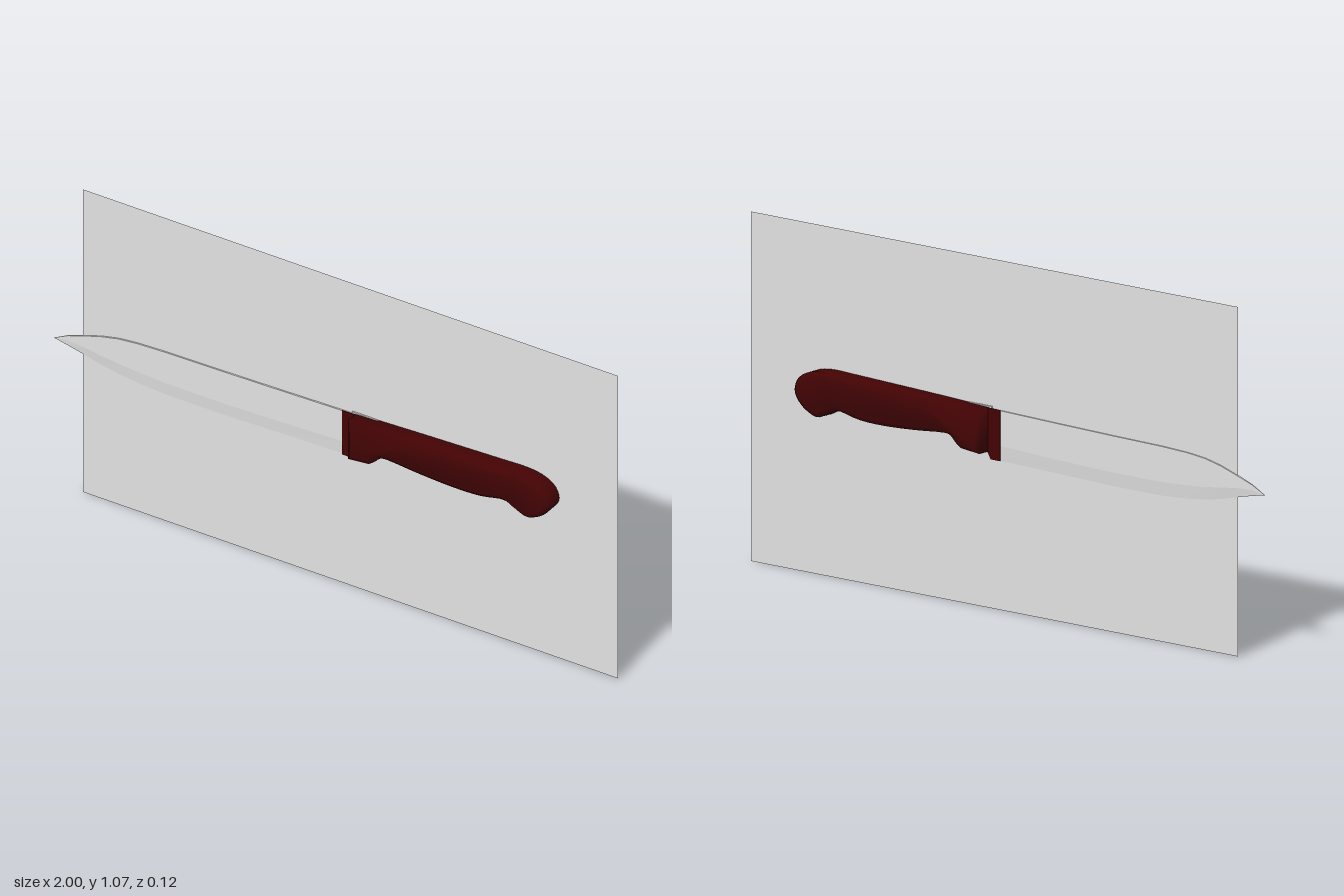
import * as THREE from 'three';
import { mergeVertices } from 'three/addons/utils/BufferGeometryUtils.js';

const steel = new THREE.MeshStandardMaterial({ color: 0xe2e2e2 });
steel.name = 'steel grey';
const sheet = new THREE.MeshStandardMaterial({ color: 0xe2e2e2, side: THREE.DoubleSide });
sheet.name = 'sheet grey';
const wood = new THREE.MeshStandardMaterial({ color: 0x430304 });
wood.name = 'dark red wood';

const v2 = (pts) => pts.map(([x, y]) => new THREE.Vector2(x, y));

function add(parent, name, geometry, material, x = 0, y = 0, z = 0) {
  const mesh = new THREE.Mesh(geometry, material);
  mesh.name = name;
  mesh.position.set(x, y, z);
  parent.add(mesh);
}

// Blade: five-sided sections (edge, bevel shoulders, spine) lofted from tip to heel
function bladeGeometry() {
  // x, edge y, shoulder y, spine y, half thickness
  const stations = [
    [-1, 0.51, 0.51, 0.51, 0.0005],
    [-0.95, 0.5, 0.518, 0.535, 0.002],
    [-0.89, 0.487, 0.516, 0.556, 0.004],
    [-0.83, 0.472, 0.508, 0.575, 0.005],
    [-0.77, 0.461, 0.501, 0.588, 0.005],
    [-0.7, 0.453, 0.495, 0.595, 0.005],
    [-0.6, 0.447, 0.49, 0.599, 0.005],
    [-0.4, 0.447, 0.49, 0.602, 0.005],
    [-0.2, 0.452, 0.495, 0.606, 0.005],
    [0.066, 0.457, 0.505, 0.612, 0.005],
  ];
  const pos = [];
  const index = [];
  stations.forEach(([x, edge, mid, top, t], i) => {
    pos.push(x, edge, 0, x, mid, t, x, top, t, x, top, -t, x, mid, -t);
    if (i === 0) return;
    for (let k = 0; k < 5; k++) {
      const a = (i - 1) * 5 + k, b = (i - 1) * 5 + ((k + 1) % 5);
      const d = a + 5, c = b + 5;
      index.push(a, d, c, a, c, b);
    }
  });
  const e = (stations.length - 1) * 5;
  for (let k = 1; k < 4; k++) index.push(e, e + k + 1, e + k);
  const indexed = new THREE.BufferGeometry();
  indexed.setAttribute('position', new THREE.Float32BufferAttribute(pos, 3));
  indexed.setIndex(index);
  const geo = indexed.toNonIndexed();
  geo.computeVertexNormals();
  return geo;
}

// Soft shading: every face around a vertex counts equally, whatever its area
function softNormals(geo) {
  const { position } = geo.attributes;
  const sums = Array.from({ length: position.count }, () => new THREE.Vector3());
  const tri = new THREE.Triangle();
  const n = new THREE.Vector3();
  for (let i = 0; i < geo.index.count; i += 3) {
    const ids = [0, 1, 2].map((k) => geo.index.getX(i + k));
    tri.setFromAttributeAndIndices(position, ...ids);
    tri.getNormal(n);
    ids.forEach((id) => sums[id].add(n));
  }
  const normals = sums.flatMap((s) => s.normalize().toArray());
  geo.setAttribute('normal', new THREE.Float32BufferAttribute(normals, 3));
  return geo;
}

// Handle: side outline with finger notch and rounded butt, chamfered all round
function handleGeometry() {
  const shape = new THREE.Shape();
  shape.moveTo(0.072, 0.479);
  shape.lineTo(0.145, 0.486);
  shape.splineThru(v2([[0.165, 0.5], [0.19, 0.521], [0.23, 0.522], [0.32, 0.514],
    [0.44, 0.508], [0.54, 0.511], [0.62, 0.526], [0.66, 0.511], [0.705, 0.494],
    [0.753, 0.513], [0.783, 0.542], [0.791, 0.57], [0.776, 0.604], [0.737, 0.627],
    [0.68, 0.636], [0.6, 0.634]]));
  shape.lineTo(0.3, 0.624);
  shape.lineTo(0.072, 0.615);
  shape.closePath();
  const bevel = 0.013, half = 0.059;
  const geo = new THREE.ExtrudeGeometry(shape, {
    depth: 2 * (half - bevel), curveSegments: 3, bevelSegments: 1,
    bevelThickness: bevel, bevelSize: bevel, bevelOffset: -bevel,
  });
  geo.translate(0, 0, -(half - bevel));
  geo.deleteAttribute('normal');
  geo.deleteAttribute('uv');
  return softNormals(mergeVertices(geo, 1e-4));
}

export function createModel() {
  const model = new THREE.Group();
  model.name = 'knifeOnSheet';

  // Thin upright backing sheet through the middle of the knife
  add(model, 'backingSheet', new THREE.PlaneGeometry(1.896, 1.07), sheet, 0.052, 0.535, 0);

  const knife = new THREE.Group();
  knife.name = 'knife';
  model.add(knife);

  add(knife, 'blade', bladeGeometry(), steel);
  add(knife, 'handle', handleGeometry(), wood);

  // Tang, just showing along the top of the handle
  add(knife, 'tang', new THREE.BoxGeometry(0.09, 0.1, 0.01), steel, 0.105, 0.569, 0);

  // Flat collar plates on both sides of the heel
  const collar = new THREE.Shape(v2([[0.025, 0.457], [0.062, 0.457], [0.076, 0.482],
    [0.076, 0.614], [0.025, 0.613]]));
  const plate = new THREE.ExtrudeGeometry(collar, { depth: 0.002, bevelEnabled: false });
  add(knife, 'collarFront', plate, wood, 0, 0, 0.0045);
  add(knife, 'collarBack', plate, wood, 0, 0, -0.0065);

  return model;
}
